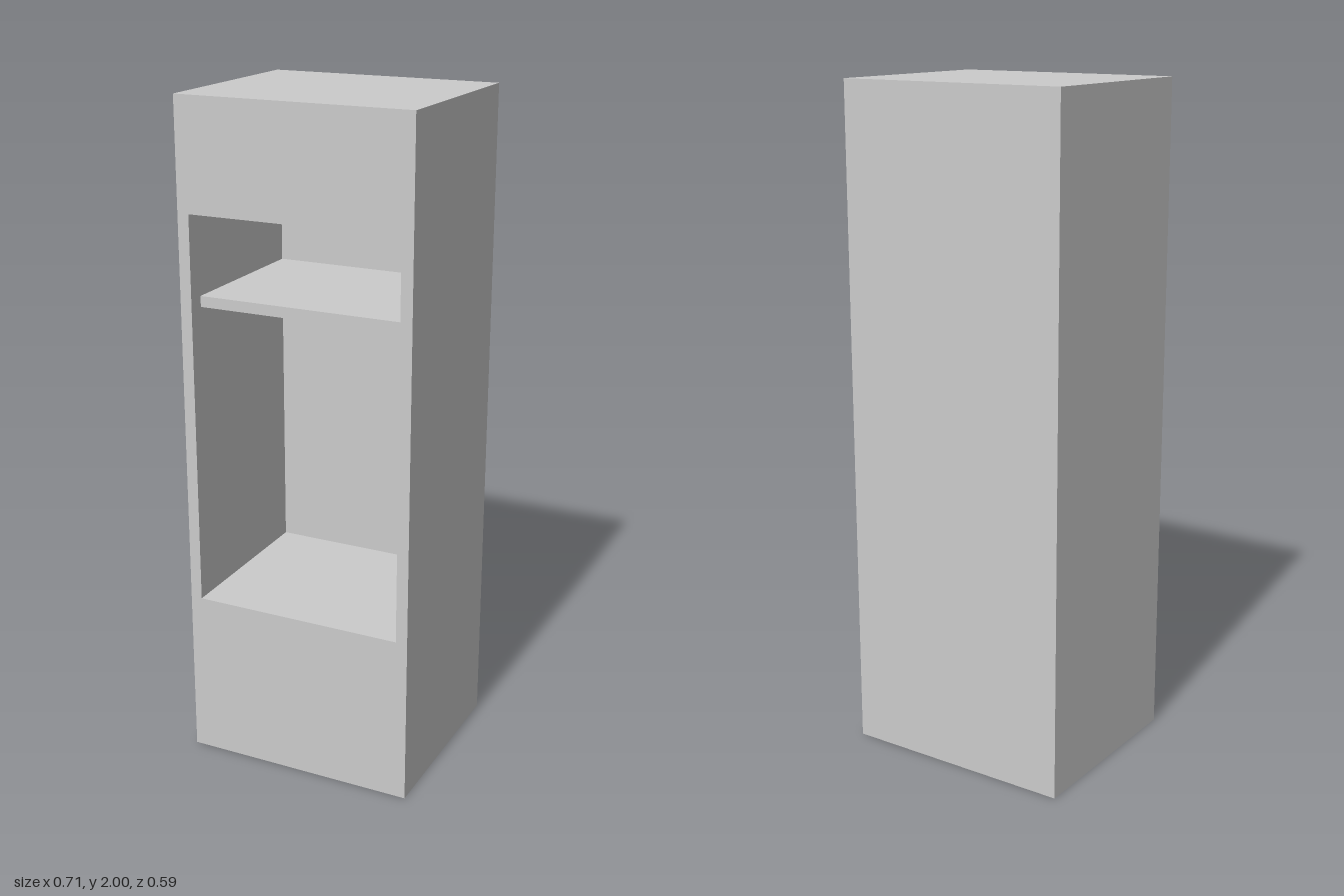
import * as THREE from 'three';

const W = 0.708, H = 2, D = 0.592;          // cabinet shell
const OW = 0.638, Y0 = 0.507, Y1 = 1.676;   // opening width, bottom and top
const FRONT = D / 2, BACK = -0.246;         // front plane and niche back plane

const material = new THREE.MeshStandardMaterial({
  color: 0xcccccc, side: THREE.DoubleSide, flatShading: true,
});

function add(group, name, geometry, x, y, z, rx = 0, ry = 0) {
  const mesh = new THREE.Mesh(geometry, material);
  mesh.name = name;
  mesh.position.set(x, y, z);
  mesh.rotation.set(rx, ry, 0);
  group.add(mesh);
}

const panel = (w, h) => new THREE.PlaneGeometry(w, h);

export function createModel() {
  const model = new THREE.Group();
  model.name = 'cabinet';

  // Thin outer shell, open underneath
  const shell = new THREE.Group();
  shell.name = 'shell';
  const face = new THREE.Shape([
    new THREE.Vector2(-W / 2, 0), new THREE.Vector2(W / 2, 0),
    new THREE.Vector2(W / 2, H), new THREE.Vector2(-W / 2, H),
  ]);
  face.holes.push(new THREE.Path([
    new THREE.Vector2(-OW / 2, Y0), new THREE.Vector2(-OW / 2, Y1),
    new THREE.Vector2(OW / 2, Y1), new THREE.Vector2(OW / 2, Y0),
  ]));
  add(shell, 'frontPanel', new THREE.ShapeGeometry(face), 0, 0, FRONT);
  add(shell, 'backPanel', panel(W, H), 0, H / 2, -D / 2, 0, Math.PI);
  add(shell, 'topPanel', panel(W, D), 0, H, 0, -Math.PI / 2);

  // Niche set into the front
  const niche = new THREE.Group();
  niche.name = 'niche';
  const depth = FRONT - BACK, midZ = (FRONT + BACK) / 2;
  const height = Y1 - Y0, midY = (Y0 + Y1) / 2;
  add(niche, 'nicheBack', panel(OW, height), 0, midY, BACK);
  add(niche, 'nicheFloor', panel(OW, depth), 0, Y0, midZ, -Math.PI / 2);
  add(niche, 'nicheCeiling', panel(OW, depth), 0, Y1, midZ, Math.PI / 2);

  // Mirrored side panels and niche walls
  for (const [side, s] of [['left', 1], ['right', -1]]) {
    add(shell, side + 'Panel', panel(D, H), s * W / 2, H / 2, 0, 0, s * Math.PI / 2);
    add(niche, side + 'NicheWall', panel(depth, height), s * OW / 2, midY, midZ, 0, -s * Math.PI / 2);
  }

  // Shelf, slightly recessed from the opening
  const shelfDepth = depth - 0.05;
  add(niche, 'shelf', new THREE.BoxGeometry(OW, 0.032, shelfDepth), 0, 1.417, BACK + shelfDepth / 2);

  model.add(shell, niche);
  return model;
}
